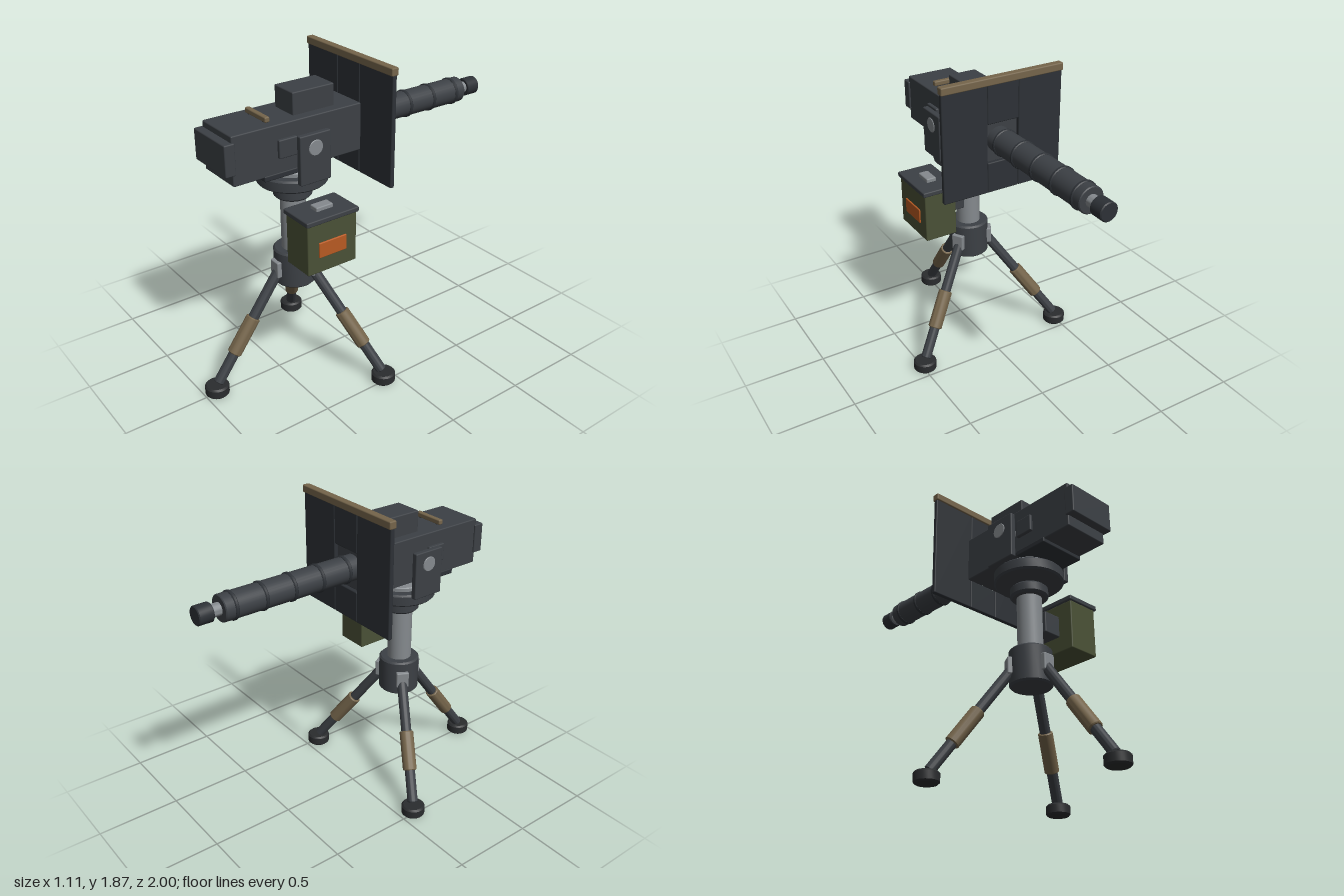
import * as THREE from 'three';
import { toCreasedNormals } from 'three/addons/utils/BufferGeometryUtils.js';
import { RoundedBoxGeometry } from 'three/addons/geometries/RoundedBoxGeometry.js';

const paint = (color) => new THREE.MeshStandardMaterial({ color });

export function createModel() {
  const model = new THREE.Group();
  const steel = paint(0x3c4045), dark = paint(0x2d3136), rubber = paint(0x2a2c2e);
  const bare = paint(0x858a8e), tan = paint(0x75654b), olive = paint(0x4a5136), orange = paint(0xb85a22);
  const AXIS = 0.365; // z of the pedestal

  function add(name, geometry, material, parent = model) {
    const mesh = new THREE.Mesh(geometry, material);
    mesh.name = name;
    parent.add(mesh);
    return mesh;
  }

  // Softly bevelled box given by its limits on each axis
  function box(name, [x0, x1], [y0, y1], [z0, z1], material, parent) {
    const size = [x1 - x0, y1 - y0, z1 - z0];
    const geometry = new RoundedBoxGeometry(...size, 2, Math.min(0.007, Math.min(...size) * 0.3));
    const mesh = add(name, geometry, material, parent);
    mesh.position.set((x0 + x1) / 2, (y0 + y1) / 2, (z0 + z1) / 2);
    return mesh;
  }

  // Cylinder with chamfered rims, running from point a to point b
  function rod(name, a, b, radius, material, parent, bevel = 0.005) {
    const from = new THREE.Vector3(...a), to = new THREE.Vector3(...b);
    const h = from.distanceTo(to), profile = [
      [0, 0], [radius - bevel, 0], [radius, bevel],
      [radius, h - bevel], [radius - bevel, h], [0, h],
    ].map(([x, y]) => new THREE.Vector2(x, y));
    const geometry = toCreasedNormals(new THREE.LatheGeometry(profile, 28), 0.6);
    const mesh = add(name, geometry, material, parent);
    mesh.position.copy(from);
    mesh.quaternion.setFromUnitVectors(new THREE.Vector3(0, 1, 0), to.sub(from).normalize());
    return mesh;
  }
  const upright = (name, y0, y1, r, material, bevel) =>
    rod(name, [0, y0, AXIS], [0, y1, AXIS], r, material, model, bevel);

  // Tripod: three legs turned about the pedestal, one pointing forward
  for (let i = 0; i < 3; i++) {
    const leg = new THREE.Group();
    leg.name = 'tripodLeg';
    leg.position.z = AXIS;
    leg.rotation.y = i * Math.PI * 2 / 3;
    model.add(leg);
    const top = new THREE.Vector3(0, 0.69, 0.095), foot = new THREE.Vector3(0, 0.07, 0.55);
    const along = (t) => top.clone().lerp(foot, t).toArray();
    rod('legTube', along(0), along(1), 0.031, steel, leg);
    rod('legGrip', along(0.44), along(0.75), 0.042, tan, leg);
    box('legKnuckle', [-0.038, 0.038], [0.635, 0.735], [0.08, 0.142], bare, leg);
    rod('footPad', [0, 0, 0.562], [0, 0.066, 0.562], 0.07, rubber, leg, 0.01);
  }

  // Pedestal and turntable
  upright('hub', 0.575, 0.795, 0.122, steel, 0.01);
  upright('column', 0.78, 1.14, 0.073, bare);
  upright('collar', 1.12, 1.19, 0.11, steel, 0.012);
  upright('spindle', 1.18, 1.35, 0.05, bare);
  upright('turntable', 1.214, 1.287, 0.202, steel, 0.01);
  upright('bearingRing', 1.285, 1.315, 0.155, bare);

  // Yoke arms and trunnion pins
  for (const s of [-1, 1]) {
    const arm = box('yokeArm', [-0.0175, 0.0175], [1.28, 1.56], [0.267, 0.463], steel);
    arm.position.x = s * 0.217;
    rod('trunnionPin', [s * 0.13, 1.48, AXIS], [s * 0.238, 1.48, AXIS], 0.046, bare);
    const block = box('sideBlock', [-0.02, 0.02], [1.435, 1.54], [0.43, 0.545], steel);
    block.position.x = s * 0.145;
  }

  // Receiver
  box('receiver', [-0.146, 0.146], [1.345, 1.622], [0, 0.815], steel);
  box('endCap', [-0.156, 0.156], [1.41, 1.587], [0.8, 0.862], steel);
  box('bellyPlate', [-0.152, 0.152], [1.322, 1.355], [0.42, 0.633], dark);
  box('cockingBar', [-0.1, 0.1], [1.625, 1.655], [0.556, 0.586], tan);
  for (const s of [-1, 1]) box('barPost', [s * 0.07 - 0.01, s * 0.07 + 0.01], [1.61, 1.635], [0.56, 0.582], steel);

  // Sight housing with a lens facing the muzzle
  box('sightHousing', [-0.087, 0.087], [1.615, 1.747], [0.138, 0.405], steel);
  rod('lensBarrel', [0, 1.685, 0.15], [0, 1.685, 0.115], 0.046, dark);
  rod('lens', [0, 1.685, 0.13], [0, 1.685, 0.102], 0.028, bare);

  // Barrel with bands and muzzle
  const barrelRod = (name, z0, z1, r, material) => rod(name, [0, 1.479, z0], [0, 1.479, z1], r, material);
  barrelRod('barrelJacket', 0.02, -0.86, 0.076, steel);
  for (let i = 0; i < 5; i++) {
    const z = -0.07 - i * 0.181;
    barrelRod('barrelBand', z + 0.011, z - 0.011, 0.082, dark);
  }
  barrelRod('muzzleNeck', -0.84, -0.93, 0.036, bare);
  barrelRod('muzzle', -0.912, -1, 0.054, dark);

  // Shield: two side panels and two centre panels around the barrel window
  const shieldZ = [-0.051, -0.024];
  box('shieldPanel', [-0.382, -0.1], [1.185, 1.83], shieldZ, dark);
  box('shieldPanel', [0.1, 0.382], [1.185, 1.83], shieldZ, dark);
  box('shieldTopPanel', [-0.1, 0.1], [1.6, 1.83], shieldZ, dark);
  box('shieldBottomPanel', [-0.1, 0.1], [1.185, 1.37], shieldZ, dark);
  box('shieldTrim', [-0.385, 0.385], [1.825, 1.87], [-0.06, -0.015], tan);

  // Ammunition box hung on the model's left
  box('boxBracket', [0.06, 0.18], [0.915, 1.045], [0.3, 0.43], steel);
  box('ammoBox', [0.172, 0.374], [0.82, 1.12], [0.205, 0.525], olive);
  box('ammoBoxLid', [0.16, 0.386], [1.117, 1.147], [0.195, 0.535], steel);
  box('lidLatch', [0.243, 0.305], [1.14, 1.17], [0.308, 0.417], bare);
  box('warningPlate', [0.365, 0.382], [0.912, 1.003], [0.276, 0.456], orange);

  return model;
}
